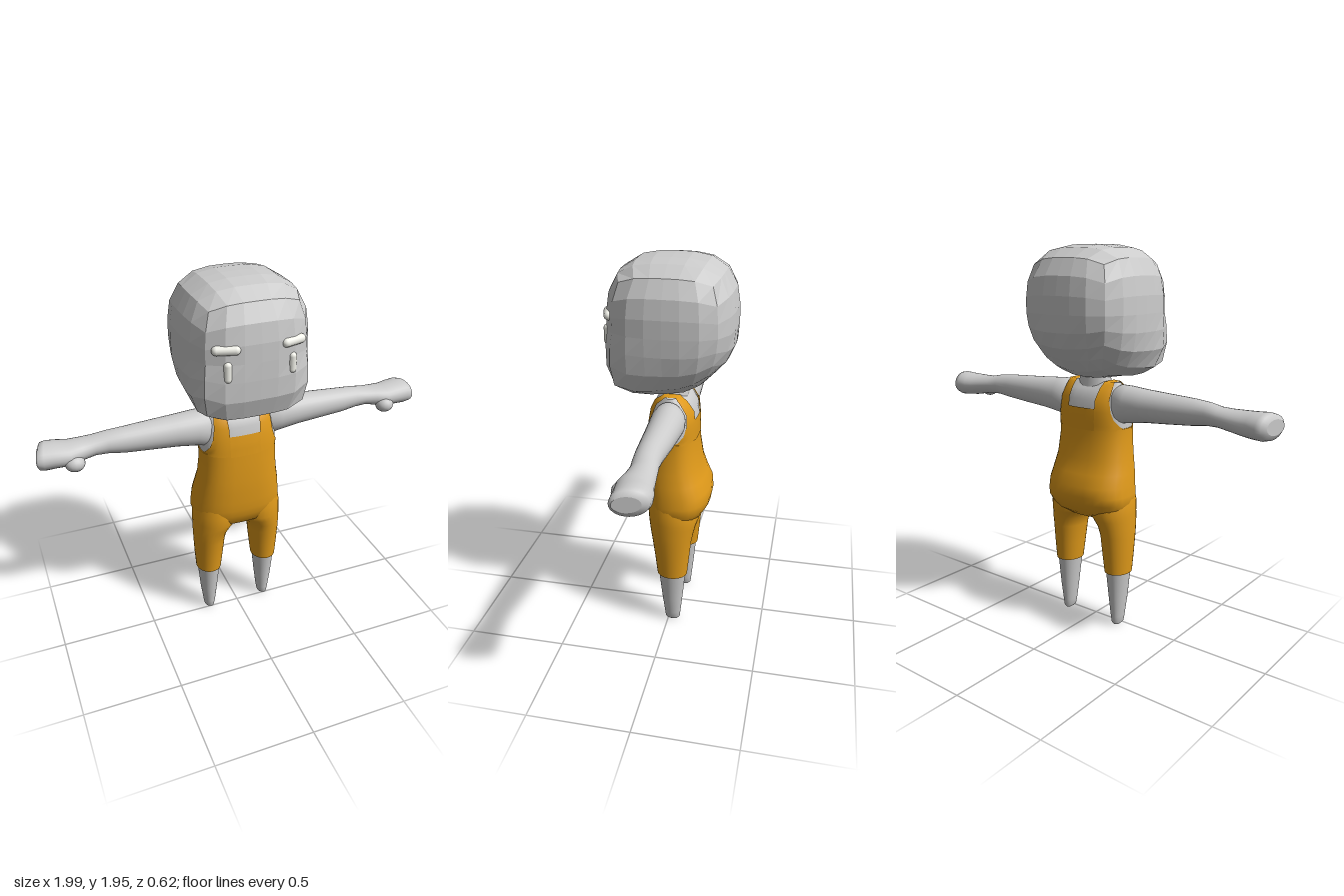
import * as THREE from 'three';

const skin = new THREE.MeshStandardMaterial({ color: 0xcccccc });
const faceted = new THREE.MeshStandardMaterial({ color: 0xcccccc, flatShading: true });
const cloth = new THREE.MeshStandardMaterial({ color: 0xe09a1a });
const strapCloth = new THREE.MeshStandardMaterial({ color: 0xe09a1a, side: THREE.DoubleSide });
const white = new THREE.MeshStandardMaterial({ color: 0xf2f2ea });
const SEG = 28;

function add(parent, name, geometry, material) {
  const mesh = new THREE.Mesh(geometry, material);
  mesh.name = name;
  parent.add(mesh);
  return mesh;
}

// Skin a grid of point rows; closed rows wrap round and get end caps
function skinRows(rows, closed) {
  const n = rows[0].length, pts = rows.flat(), index = [];
  for (let j = 0; j < rows.length - 1; j++) {
    for (let i = 0; i < (closed ? n : n - 1); i++) {
      const k = (i + 1) % n, a = j * n + i, b = a + n, c = j * n + k, d = c + n;
      index.push(a, b, c, c, b, d);
    }
  }
  if (closed) {
    [0, rows.length - 1].forEach((j, end) => {
      const ring = rows[j], base = pts.length;
      const mid = ring.reduce((m, p) => m.add(p), new THREE.Vector3()).divideScalar(n);
      pts.push(...ring.map((p) => p.clone()), mid);
      for (let i = 0; i < n; i++) {
        const k = (i + 1) % n;
        index.push(base + n, base + (end ? k : i), base + (end ? i : k));
      }
    });
  }
  const g = new THREE.BufferGeometry().setFromPoints(pts);
  g.setIndex(index);
  g.computeVertexNormals();
  return g;
}

// Ring of points from a function of angle
const ring = (f) => Array.from({ length: SEG }, (_, i) => f((i / SEG) * Math.PI * 2));

// Linear lookup in a table sorted by its first column
function lookup(table, t) {
  let i = 0;
  while (i < table.length - 2 && t > table[i + 1][0]) i++;
  const [a, b] = [table[i], table[i + 1]];
  const k = THREE.MathUtils.clamp((t - a[0]) / (b[0] - a[0]), 0, 1);
  return a.map((v, c) => v + (b[c] - v) * k);
}

// Torso sections: y, half width, front z, back z
const TORSO = [
  [0.595, 0.13, 0.06, -0.12], [0.625, 0.215, 0.1, -0.16], [0.68, 0.238, 0.12, -0.193],
  [0.72, 0.237, 0.127, -0.2], [0.77, 0.231, 0.131, -0.197], [0.83, 0.222, 0.133, -0.17],
  [0.9, 0.208, 0.135, -0.146], [1.0, 0.199, 0.131, -0.13], [1.06, 0.2, 0.127, -0.125],
  [1.12, 0.2, 0.122, -0.125], [1.2, 0.19, 0.108, -0.118], [1.25, 0.175, 0.085, -0.085],
  [1.285, 0.16, 0.03, -0.045],
];
const POW = 2.5;

function torsoRing(y, inset) {
  const [, rx, zf, zb] = lookup(TORSO, y);
  const bend = (v) => Math.sign(v) * Math.abs(v) ** (2 / POW);
  return ring((a) => new THREE.Vector3((rx - inset) * bend(Math.cos(a)), y,
    (zf + zb) / 2 + ((zf - zb) / 2 - inset) * bend(Math.sin(a))));
}

// Point on the front (side 1) or back (side -1) of the torso
function onTorso(x, y, side) {
  const [, rx, zf, zb] = lookup(TORSO, y);
  const depth = Math.max(0, 1 - Math.abs(x / rx) ** POW) ** (1 / POW);
  return new THREE.Vector3(x, y, (zf + zb) / 2 + side * ((zf - zb) / 2) * depth);
}

// Arm sections: x, bottom y, top y, back z, front z
const ARM = [
  [0.11, 1.12, 1.25, -0.06, 0.05], [0.17, 1.08, 1.277, -0.088, 0.072], [0.22, 1.092, 1.276, -0.093, 0.077],
  [0.32, 1.106, 1.268, -0.088, 0.07], [0.45, 1.116, 1.261, -0.08, 0.063], [0.58, 1.127, 1.254, -0.07, 0.057],
  [0.66, 1.139, 1.247, -0.071, 0.05], [0.72, 1.14, 1.235, -0.077, 0.045], [0.78, 1.13, 1.232, -0.083, 0.055],
  [0.84, 1.118, 1.232, -0.09, 0.072], [0.9, 1.114, 1.236, -0.1, 0.065], [0.95, 1.111, 1.24, -0.105, 0.063],
  [0.975, 1.118, 1.235, -0.1, 0.061], [0.986, 1.14, 1.212, -0.07, 0.048],
];

// Leg sections: y, inner x, outer x, back z, front z
const TROUSER = [
  [0.3, 0.095, 0.23, -0.1, 0.058], [0.4, 0.083, 0.237, -0.11, 0.07], [0.5, 0.073, 0.241, -0.12, 0.084],
  [0.55, 0.06, 0.242, -0.13, 0.093], [0.59, 0.03, 0.242, -0.14, 0.102], [0.62, 0.002, 0.242, -0.15, 0.108],
  [0.68, 0.0, 0.24, -0.15, 0.112], [0.76, 0.02, 0.22, -0.12, 0.1],
];
const SHIN = [
  [0.0, 0.15, 0.178, -0.05, 0.0], [0.012, 0.137, 0.19, -0.062, 0.015], [0.05, 0.13, 0.196, -0.066, 0.02],
  [0.15, 0.118, 0.209, -0.077, 0.033], [0.32, 0.1, 0.224, -0.093, 0.052],
];

const legGeometry = (table, s) => skinRows(table.map(([y, x0, x1, z0, z1]) => ring((a) => new THREE.Vector3(
  s * (x0 + x1) / 2 + ((x1 - x0) / 2) * Math.cos(a), y, (z0 + z1) / 2 + ((z1 - z0) / 2) * Math.sin(a)))), true);

const armGeometry = (s) => skinRows(ARM.map(([x, y0, y1, z0, z1]) => ring((a) => {
  const z = (z0 + z1) / 2 - s * ((z1 - z0) / 2) * Math.sin(a);
  const slant = x > 0.88 ? 0.22 * z : 0; // fingertips end at a slant
  return new THREE.Vector3(s * (x + slant), (y0 + y1) / 2 + ((y1 - y0) / 2) * Math.cos(a), z);
})), true);

// Strap edges: y, inner x, outer x
const STRAP = [[1.05, 0.08, 0.199], [1.07, 0.08, 0.19], [1.1, 0.08, 0.173], [1.14, 0.08, 0.159],
  [1.2, 0.081, 0.15], [1.25, 0.084, 0.146], [1.27, 0.086, 0.143], [1.284, 0.088, 0.14]];

function strapGeometry(s) {
  const row = ([y, x0, x1], side) => Array.from({ length: 7 }, (_, i) => {
    const k = s > 0 ? 1 - i / 6 : i / 6;
    const p = onTorso(s * (x0 + (x1 - x0) * k), y, side);
    p.z += side * 0.002;
    p.y += 0.004;
    return p;
  });
  return skinRows([...STRAP.map((e) => row(e, 1)), ...STRAP.slice().reverse().map((e) => row(e, -1))], false);
}

const bibGeometry = (side) => skinRows([1.05, 1.09, 1.12, 1.16].map((y) =>
  Array.from({ length: 7 }, (_, i) => {
    const p = onTorso(side * (0.081 - 0.027 * i), y, side);
    p.z += side * 0.002;
    return p;
  })), false);

// Rounded cube head, tucked in at the lower back and squarer at the chin
function headGeometry() {
  const g = new THREE.BoxGeometry(2, 2, 2, 6, 6, 6), pos = g.attributes.position;
  const d = new THREE.Vector3();
  for (let i = 0; i < pos.count; i++) {
    d.fromBufferAttribute(pos, i);
    d.set(...d.toArray().map((v) => Math.tan((v * Math.PI) / 4))).normalize();
    const p = 3.1 + (d.y < 0 ? -d.y * d.z * (d.z > 0 ? 4.5 : 2.4) : 0);
    const r = (Math.abs(d.x) ** p + Math.abs(d.y) ** p + Math.abs(d.z) ** p) ** (-1 / p);
    pos.setXYZ(i, d.x * r * 0.303, 1.624 + d.y * r * 0.322, d.z * r * 0.305);
  }
  return g;
}

export function createModel() {
  const model = new THREE.Group();
  model.name = 'figure';

  // Head, neck and face
  add(model, 'head', headGeometry(), faceted);
  add(model, 'neck', new THREE.CylinderGeometry(0.075, 0.1, 0.12, 20), skin).position.set(0, 1.3, -0.005);
  model.getObjectByName('neck').scale.z = 0.7;

  // Torso and the body of the overalls
  add(model, 'chest', skinRows([1.04, 1.12, 1.2, 1.25, 1.285].map((y) => torsoRing(y, 0.004)), true), skin);
  add(model, 'overalls', skinRows(TORSO.filter((t) => t[0] <= 1.06).map((t) => torsoRing(t[0], 0)), true), cloth);
  add(model, 'frontBib', bibGeometry(1), strapCloth);
  add(model, 'backBib', bibGeometry(-1), strapCloth);

  for (const s of [1, -1]) {
    const side = s > 0 ? 'left' : 'right';
    const eye = add(model, side + 'Eye', new THREE.CapsuleGeometry(0.019, 0.062, 6, 14), white);
    eye.position.set(s * 0.155, 1.592, 0.287);
    const brow = add(model, side + 'Eyebrow', new THREE.CapsuleGeometry(0.022, 0.085, 6, 14), white);
    brow.position.set(s * 0.16, 1.693, 0.28);
    brow.rotation.set(0, s * 0.28, Math.PI / 2);

    add(model, side + 'Strap', strapGeometry(s), strapCloth);
    add(model, side + 'Arm', armGeometry(s), skin);
    const thumb = add(model, side + 'Thumb', new THREE.SphereGeometry(1, 16, 12), skin);
    thumb.position.set(s * 0.825, 1.145, 0.05);
    thumb.scale.set(0.048, 0.04, 0.045);

    add(model, side + 'TrouserLeg', legGeometry(TROUSER, s), cloth);
    add(model, side + 'Shin', legGeometry(SHIN, s), skin);
  }
  return model;
}
